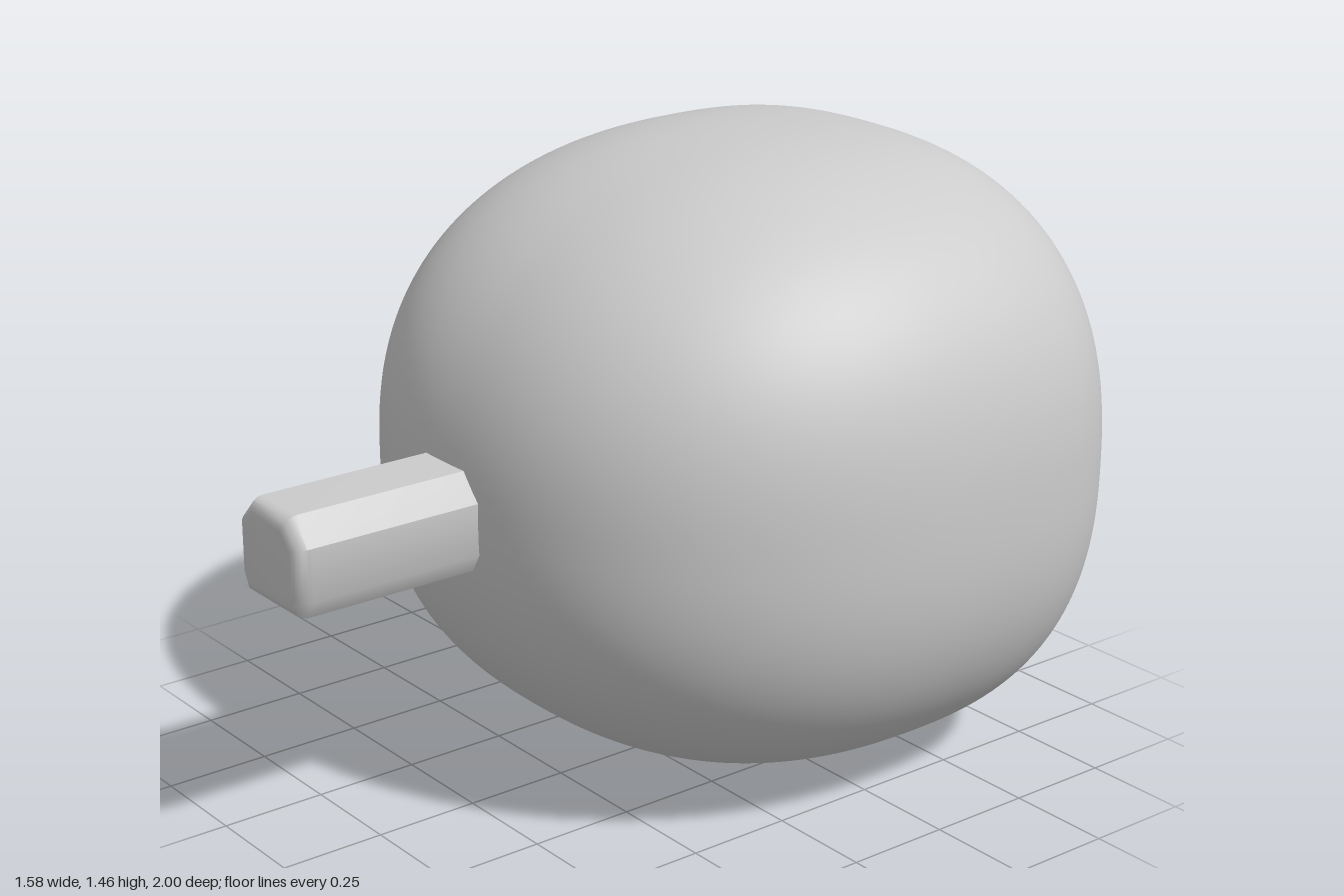
import * as THREE from 'three';
import { mergeVertices, toCreasedNormals } from 'three/addons/utils/BufferGeometryUtils.js';

const material = new THREE.MeshStandardMaterial({ color: 0xcccccc });

// Soft rounded-cube body: a box blown up to a superellipsoid, blunter at the back
function bodyGeometry() {
  const box = new THREE.BoxGeometry(2, 2, 2, 40, 40, 40);
  box.deleteAttribute('normal');
  box.deleteAttribute('uv');
  const geometry = mergeVertices(box);
  const position = geometry.attributes.position;
  const q = 2.45; // squareness of the cross-section
  const v = new THREE.Vector3();
  for (let i = 0; i < position.count; i++) {
    v.fromBufferAttribute(position, i).normalize();
    const front = v.z > 0;
    const p = front ? 2.25 : 2.7;
    const across = (Math.abs(v.x) ** q + Math.abs(v.y) ** q) ** (1 / q);
    v.multiplyScalar((across ** p + Math.abs(v.z) ** p) ** (-1 / p));
    position.setXYZ(i, v.x * 0.79, v.y * 0.728, v.z * (front ? 0.905 : 0.65));
  }
  geometry.computeVertexNormals();
  return geometry;
}

// Eight-sided peg with a rounded tip
function pegGeometry() {
  const outline = [
    [-0.11, 0.615], [0.09, 0.615], [0.118, 0.66], [0.118, 0.78],
    [0.065, 0.84], [-0.08, 0.84], [-0.132, 0.785], [-0.132, 0.66],
  ];
  const shape = new THREE.Shape(outline.map(([x, y]) => new THREE.Vector2(x, y)));
  const bevel = 0.035;
  const geometry = new THREE.ExtrudeGeometry(shape, {
    depth: 0.6 - 2 * bevel,
    bevelThickness: bevel,
    bevelSize: bevel,
    bevelOffset: -bevel,
    bevelSegments: 5,
  });
  geometry.translate(0, 0, 0.4 + bevel);
  return toCreasedNormals(geometry, 0.7);
}

export function createModel() {
  const model = new THREE.Group();

  const body = new THREE.Mesh(bodyGeometry(), material);
  body.name = 'body';
  body.position.set(0, 0.728, -0.35);

  const peg = new THREE.Mesh(pegGeometry(), material);
  peg.name = 'peg';

  model.add(body, peg);
  return model;
}
